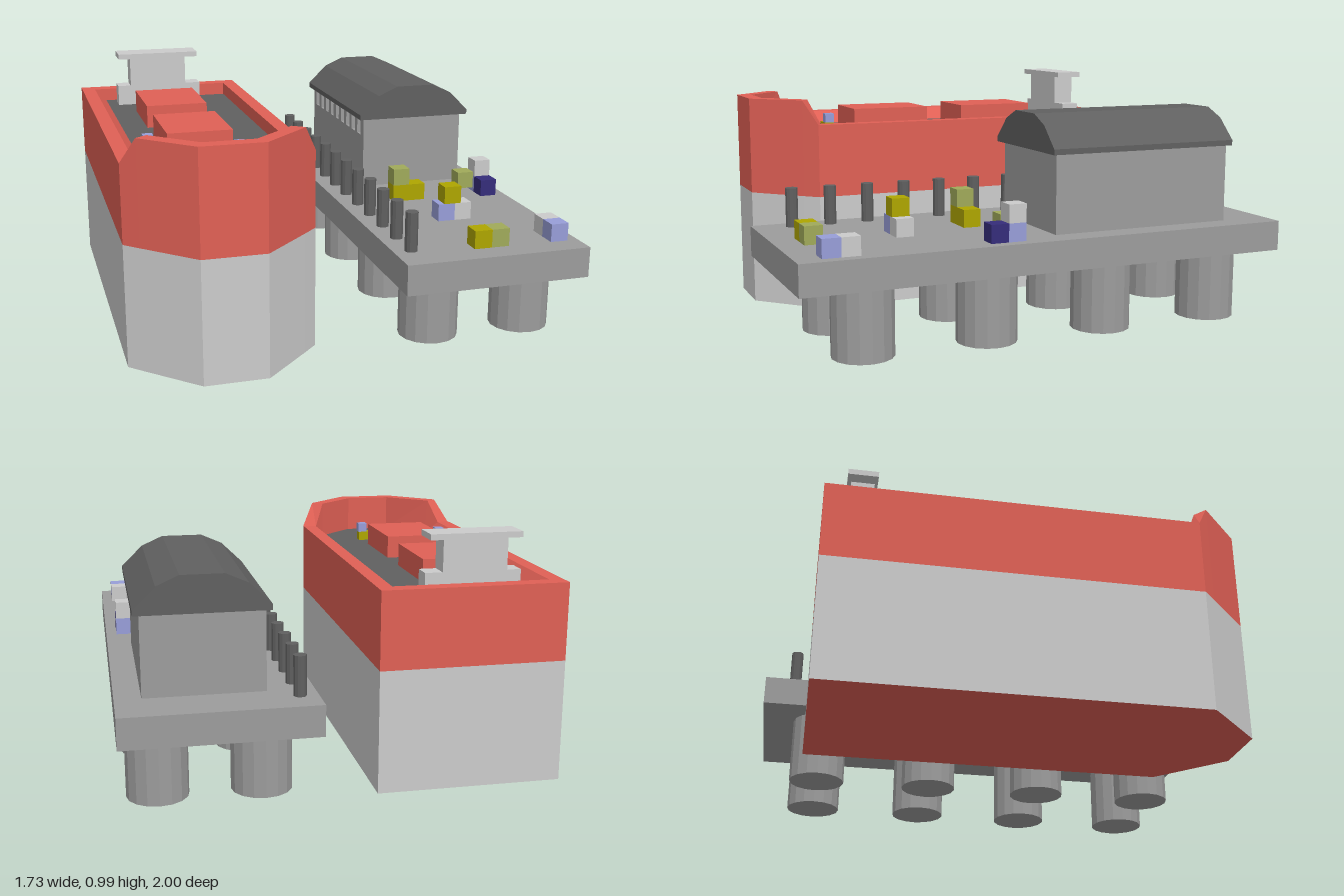
import * as THREE from 'three';

const mat = (color) => new THREE.MeshStandardMaterial({ color, flatShading: true });
const GREY = mat(0xcccccc), RED = mat(0xe06055), STONE = mat(0x9c9c9c), DARK = mat(0x606060);
const YELLOW = mat(0xaea600), OLIVE = mat(0xa0aa5a), BLUE = mat(0x989ed8), NAVY = mat(0x352d7a);

function add(parent, name, geometry, material, x = 0, y = 0, z = 0) {
  const mesh = new THREE.Mesh(geometry, material);
  mesh.name = name;
  mesh.position.set(x, y, z);
  parent.add(mesh);
  return mesh;
}

// Box given by its limits on each axis
function box(parent, name, material, [x0, x1], [y0, y1], [z0, z1]) {
  return add(parent, name, new THREE.BoxGeometry(x1 - x0, y1 - y0, z1 - z0), material,
    (x0 + x1) / 2, (y0 + y1) / 2, (z0 + z1) / 2);
}

// Cube standing at height y
function crate(parent, name, size, material, x, y, z) {
  add(parent, name, new THREE.BoxGeometry(size, size, size), material, x, y + size / 2, z);
}

// Quad strips between closed rings of [x, y, z] points
function loft(rings) {
  const pos = [];
  for (let r = 0; r < rings.length - 1; r++) {
    const a = rings[r], b = rings[r + 1], n = a.length;
    for (let i = 0; i < n; i++) {
      const j = (i + 1) % n;
      pos.push(...a[i], ...a[j], ...b[j], ...a[i], ...b[j], ...b[i]);
    }
  }
  const g = new THREE.BufferGeometry();
  g.setAttribute('position', new THREE.Float32BufferAttribute(pos, 3));
  g.computeVertexNormals();
  return g;
}

// Horizontal outline as a shape, to be turned flat
const planShape = (pts) => new THREE.Shape(pts.map(([x, z]) => new THREE.Vector2(x, -z)));

function createShip() {
  const ship = new THREE.Group();
  ship.name = 'ship';
  const cx = -0.495;
  // Mirror a left half outline, from stern to bow
  const outline = (half) => [
    ...half.map(([d, z]) => [cx - d, z]),
    ...[...half].reverse().map(([d, z]) => [cx + d, z]),
  ];
  const outer = outline([[0.37, -0.82], [0.37, 0.645], [0.315, 0.7], [0.125, 0.885]]);
  const inner = outline([[0.312, -0.757], [0.312, 0.62], [0.27, 0.665], [0.1, 0.825]]);
  const deckEdge = inner.map(([x, z]) => [Math.max(x, -0.755), z]);
  const rim = [0.8, 0.8, 0.903, 0.903, 0.903, 0.903, 0.8, 0.8];
  const deckY = 0.745;
  const at = (pts, y) => pts.map(([x, z], i) => [x, Array.isArray(y) ? y[i] : y, z]);

  // Hull: grey sides with a red bottom, red topsides and bulwark
  const lower = new THREE.ExtrudeGeometry(planShape(outer), { depth: 0.49, bevelEnabled: false });
  add(ship, 'lowerHull', lower.rotateX(-Math.PI / 2), [RED, GREY]);
  add(ship, 'upperHull', loft([at(outer, 0.49), at(outer, rim), at(inner, rim), at(deckEdge, deckY)]), RED);
  add(ship, 'deck', new THREE.ShapeGeometry(planShape(deckEdge)).rotateX(-Math.PI / 2), DARK, 0, deckY, 0);

  // Cargo hatches
  for (const z of [-0.475, 0.05]) {
    box(ship, 'hatch', RED, [-0.65, -0.39], [deckY, 0.84], [z, z + 0.353]);
  }

  // Bridge house
  box(ship, 'bridgeBase', GREY, [-0.71, -0.325], [deckY, 0.835], [-0.71, -0.63]);
  box(ship, 'bridgeNeck', GREY, [-0.652, -0.394], [0.835, 0.963], [-0.715, -0.622]);
  box(ship, 'bridgeRoof', GREY, [-0.705, -0.338], [0.963, 0.986], [-0.73, -0.61]);

  // Small deck boxes
  const s = 0.04;
  [
    [YELLOW, -0.715, 0, 0.33], [BLUE, -0.715, 1, 0.33], [GREY, -0.715, 0, 0.525],
    [YELLOW, -0.433, 0, 0.525], [YELLOW, -0.393, 0, 0.525], [BLUE, -0.39, 1, 0.525],
  ].forEach(([m, x, level, z]) => crate(ship, 'deckBox', s, m, x, deckY + level * s, z));
  return ship;
}

function createWarehouse() {
  const house = new THREE.Group();
  house.name = 'warehouse';
  const y0 = 0.435, y1 = 0.75, z0 = -0.8, z1 = -0.03, t = 0.03;
  box(house, 'warehouseBody', STONE, [0.3 + t, 0.76], [y0, y1], [z0, z1]);

  // Quayside wall with a row of openings under the eaves
  const wall = new THREE.Shape();
  wall.moveTo(z0, y0).lineTo(z1, y0).lineTo(z1, y1).lineTo(z0, y1).closePath();
  for (let i = 0; i < 9; i++) {
    const z = z0 + 0.065 + i * 0.08;
    const hole = new THREE.Path();
    hole.moveTo(z - 0.023, 0.665).lineTo(z - 0.023, 0.735).lineTo(z + 0.023, 0.735).lineTo(z + 0.023, 0.665).closePath();
    wall.holes.push(hole);
  }
  const wallGeo = new THREE.ExtrudeGeometry(wall, { depth: t, bevelEnabled: false }).rotateY(-Math.PI / 2);
  add(house, 'windowWall', wallGeo, STONE, 0.3 + t, 0, 0);

  // Faceted barrel roof
  const half = [[0.2535, 0.745], [0.2535, 0.767], [0.168, 0.85], [0.082, 0.888]];
  const profile = [
    ...half.map(([d, y]) => new THREE.Vector2(0.5305 + d, y)),
    ...[...half].reverse().map(([d, y]) => new THREE.Vector2(0.5305 - d, y)),
  ];
  const roof = new THREE.ExtrudeGeometry(new THREE.Shape(profile), { depth: 0.805, bevelEnabled: false });
  add(house, 'roof', roof, DARK, 0, 0, -0.812);
  return house;
}

function createQuay() {
  const quay = new THREE.Group();
  quay.name = 'quay';
  box(quay, 'platform', STONE, [0.12, 0.86], [0.315, 0.435], [-1, 1]);

  // Supporting piles in two rows
  const pile = new THREE.CylinderGeometry(0.118, 0.118, 0.275, 16);
  for (const x of [0.316, 0.71]) {
    for (let i = 0; i < 4; i++) add(quay, 'pile', pile, STONE, x, 0.1775, -0.75 + i * 0.493);
  }

  // Mooring posts along the water's edge
  const post = new THREE.CylinderGeometry(0.025, 0.025, 0.155, 12);
  for (let i = 0; i < 12; i++) add(quay, 'mooringPost', post, DARK, 0.19, 0.5125, -0.873 + i * 0.1565);

  // Stacked crates
  const s = 0.071;
  [
    [YELLOW, 0.384, 0, 0.2], [YELLOW, 0.455, 0, 0.2], [OLIVE, 0.384, 1, 0.2],
    [BLUE, 0.463, 0, 0.51], [GREY, 0.534, 0, 0.51], [YELLOW, 0.488, 1, 0.51],
    [YELLOW, 0.463, 0, 0.865], [OLIVE, 0.534, 0, 0.865],
    [OLIVE, 0.702, 0.3, 0.157], [BLUE, 0.78, 0, 0.157], [GREY, 0.78, 1, 0.157], [NAVY, 0.78, 0, 0.228],
    [GREY, 0.78, 0, 0.798], [BLUE, 0.78, 0, 0.869],
  ].forEach(([m, x, level, z]) => crate(quay, 'crate', s, m, x, 0.435 + level * s, z));

  quay.add(createWarehouse());
  return quay;
}

export function createModel() {
  const model = new THREE.Group();
  model.name = 'harbour';
  model.add(createShip(), createQuay());
  return model;
}
